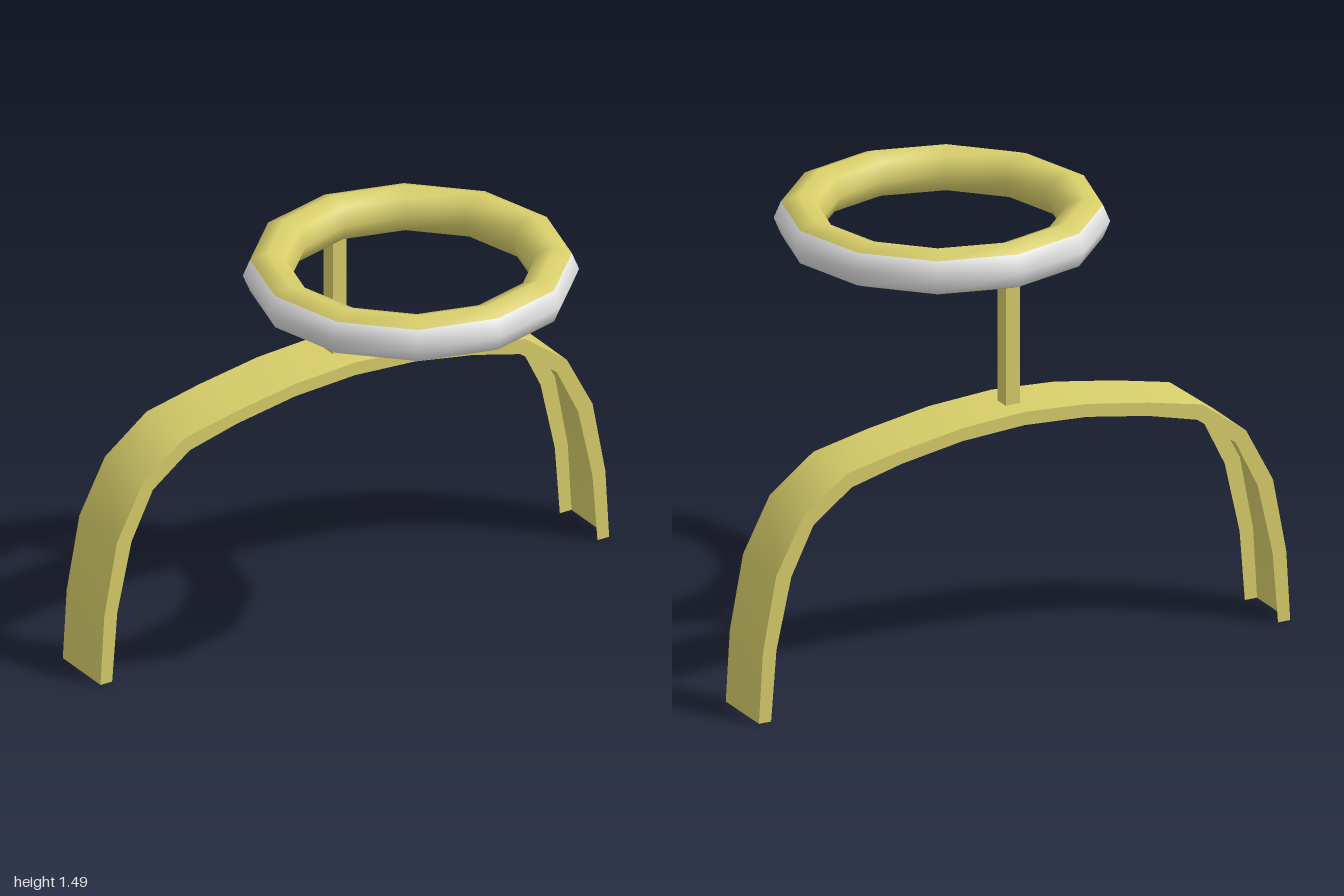
import * as THREE from 'three';

export function createModel() {
  const gold = new THREE.MeshStandardMaterial({ color: 0xd8ce6a, side: THREE.DoubleSide });
  gold.name = 'gold';
  const white = new THREE.MeshStandardMaterial({ color: 0xe4e4e4 });
  white.name = 'white';

  const model = new THREE.Group();
  model.name = 'haloHeadband';
  const add = (name, geometry, material, x, y, z) => {
    const mesh = new THREE.Mesh(geometry, material);
    mesh.name = name;
    mesh.position.set(x, y, z);
    model.add(mesh);
  };

  // Headband profiles from foot to crown, mirrored to full arches running from -x to +x
  const mirror = (half) => [
    ...half.map(([x, y]) => [-x, y]),
    ...half.slice(0, -1).reverse(),
  ];
  const outer = mirror([[1, 0], [0.985, 0.25], [0.935, 0.513], [0.834, 0.705],
    [0.67, 0.828], [0.465, 0.872], [0.235, 0.91], [0, 0.925]]);
  const inner = mirror([[0.954, 0], [0.934, 0.25], [0.878, 0.5], [0.794, 0.67],
    [0.65, 0.777], [0.465, 0.825], [0.235, 0.864], [0, 0.878]]);
  const bandZ = -0.454, bandWidth = 0.232;

  // Outer sheet of the band: a strip bent along the outer arch
  const sheet = new THREE.PlaneGeometry(1, bandWidth, outer.length - 1, 1);
  const pos = sheet.attributes.position;
  for (let i = 0; i < pos.count; i++) {
    const [x, y] = outer[i % outer.length];
    pos.setXYZ(i, x, y, -pos.getY(i));
  }
  sheet.computeVertexNormals();
  add('headbandSheet', sheet, gold, 0, 0, bandZ);

  // Rims turned inward along the front and back edges; the underside stays open
  const outline = [...outer, ...inner.slice().reverse()];
  const rim = new THREE.ShapeGeometry(
    new THREE.Shape(outline.map(([x, y]) => new THREE.Vector2(x, y))));
  add('headbandFrontRim', rim, gold, 0, 0, bandZ + bandWidth / 2);
  const backRim = rim.clone().rotateY(Math.PI);
  add('headbandBackRim', backRim, gold, 0, 0, bandZ - bandWidth / 2);

  // Square post, poking just through the sheet and into the ring
  const postBottom = 0.908, postTop = 1.37;
  const post = new THREE.BoxGeometry(0.053, postTop - postBottom, 0.059);
  add('post', post, gold, 0, (postBottom + postTop) / 2, -0.459);

  // Ring: the two outermost rows of faces are white, the other six gold
  const sides = 8, segments = 12, row = segments * 6;
  const ring = new THREE.TorusGeometry(0.476, 0.082, sides, segments);
  ring.rotateX(-Math.PI / 2);
  ring.addGroup(0, row, 1);
  ring.addGroup(row, row * (sides - 2), 0);
  ring.addGroup(row * (sides - 1), row, 1);
  add('haloRing', ring, [gold, white], 0, 1.412, 0.008);

  return model;
}
